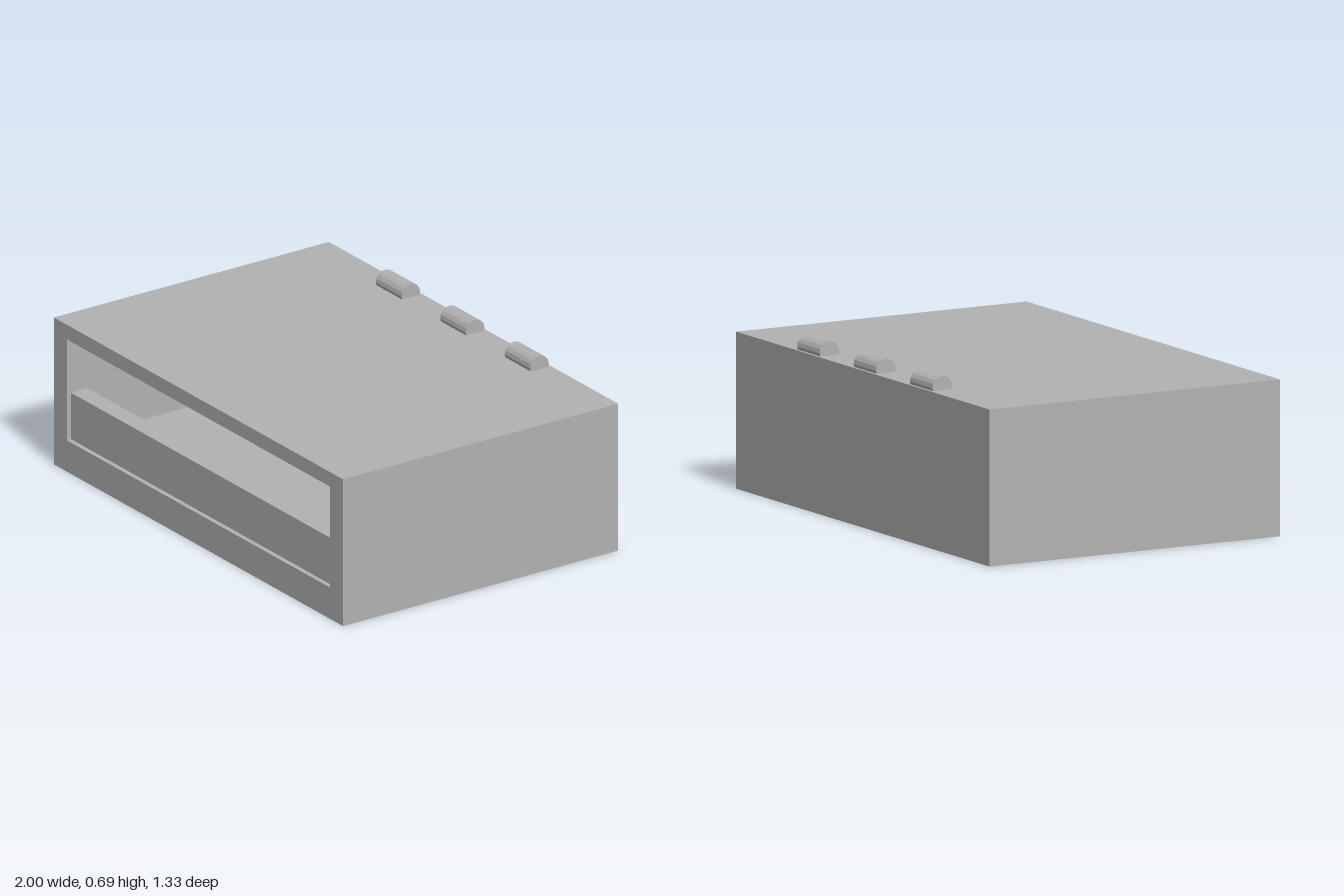
import * as THREE from 'three';

const W = 2, H = 0.633, D = 1.333;            // outer case
const IN_X = 0.91, IN_LOW = 0.135, IN_TOP = 0.57; // front opening
const BACK = 0.09;                            // back wall thickness

export function createModel() {
  const model = new THREE.Group();
  const grey = new THREE.MeshStandardMaterial({ color: 0xb2b2b2, flatShading: true });
  grey.name = 'grey';

  const add = (name, geometry, x, y, z) => {
    const mesh = new THREE.Mesh(geometry, grey);
    mesh.name = name;
    mesh.position.set(x, y, z);
    model.add(mesh);
    return mesh;
  };

  // Case: rectangular tube open to the front, closed by a back wall
  const outline = new THREE.Shape([
    new THREE.Vector2(-W / 2, 0), new THREE.Vector2(W / 2, 0),
    new THREE.Vector2(W / 2, H), new THREE.Vector2(-W / 2, H),
  ]);
  outline.holes.push(new THREE.Path([
    new THREE.Vector2(-IN_X, IN_LOW), new THREE.Vector2(-IN_X, IN_TOP),
    new THREE.Vector2(IN_X, IN_TOP), new THREE.Vector2(IN_X, IN_LOW),
  ]));
  add('case', new THREE.ExtrudeGeometry(outline, { depth: D - BACK, bevelEnabled: false }),
    0, 0, -D / 2 + BACK);
  add('backWall', new THREE.BoxGeometry(W, H, BACK), 0, H / 2, -D / 2 + BACK / 2);

  // Low board set just inside the opening
  const boardH = 0.2, boardT = 0.08;
  add('frontBoard', new THREE.BoxGeometry(IN_X * 2, boardH, boardT),
    0, IN_LOW + boardH / 2, D / 2 - 0.02 - boardT / 2);

  // Round stub hanging from the ceiling
  add('ceilingStub', new THREE.CylinderGeometry(0.068, 0.068, 0.08, 16), 0, IN_TOP - 0.04, 0);

  // Hinge barrels along the rear top edge
  for (const x of [-0.445, 0, 0.445]) {
    const hinge = add('hinge', new THREE.CylinderGeometry(0.045, 0.045, 0.178, 16), x, 0.645, -0.612);
    hinge.rotation.z = Math.PI / 2;
  }
  return model;
}
